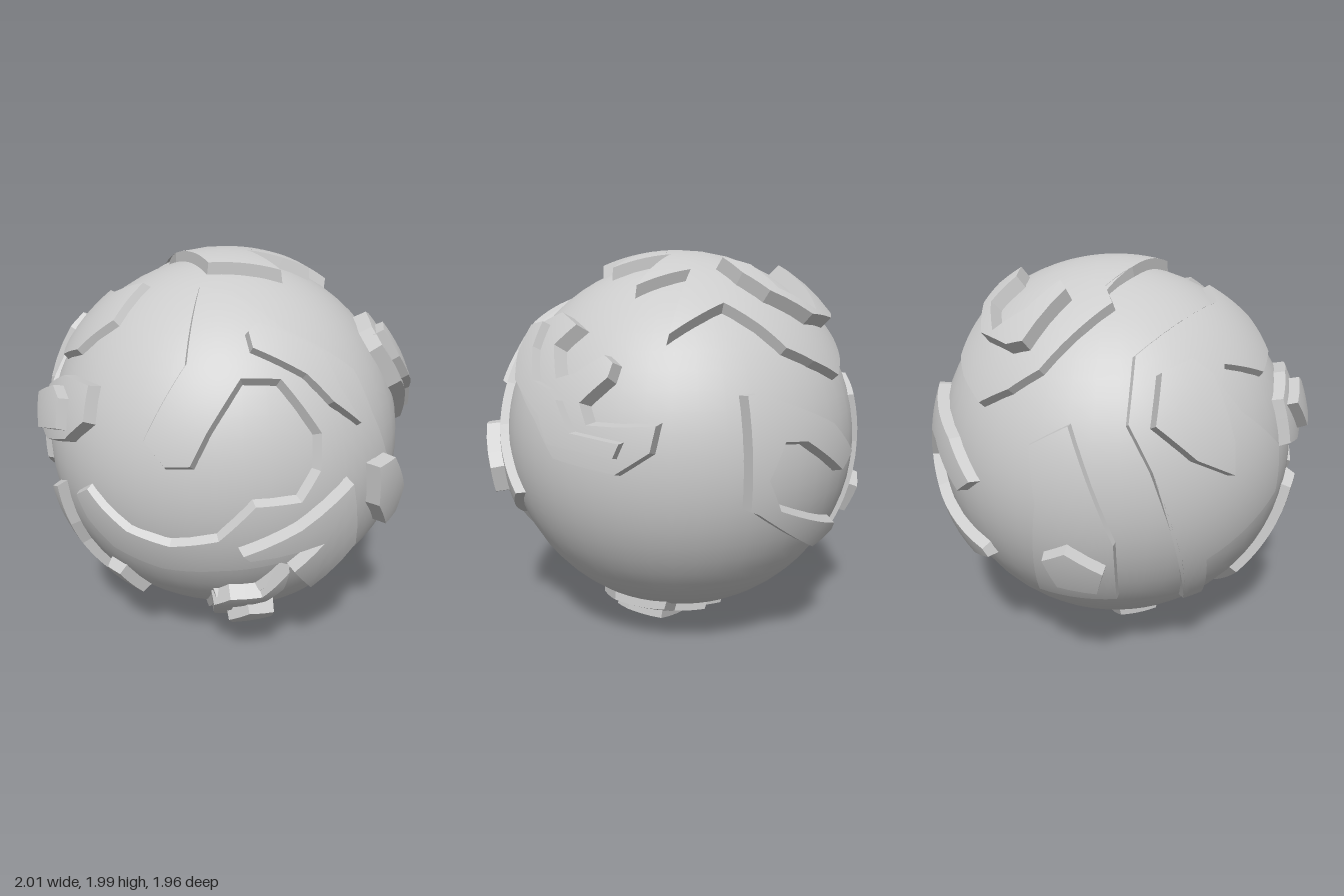
import * as THREE from 'three';

const CENTRE_Y = 1.02, SEA = 0.925, FLOOR = 0.91, BEVEL = 0.022;
const material = new THREE.MeshStandardMaterial({ color: 0xcccccc });

// Projection directions: [azimuth, elevation] in degrees
const VIEWS = {
  front: [0, 0], right: [90, 0], top: [0, 90], bottom: [0, -90],
  backLeft: [217, 28], backRight: [143, -28],
};

// Drop a 2D point (relative to the globe centre) onto a sphere of radius r
function onSphere(view, a, b, r) {
  const [az, el] = VIEWS[view].map(THREE.MathUtils.degToRad);
  const right = new THREE.Vector3(Math.cos(az), 0, -Math.sin(az));
  const toward = new THREE.Vector3(Math.sin(az) * Math.cos(el), Math.sin(el), Math.cos(az) * Math.cos(el));
  const up = toward.clone().cross(right);
  // plain coordinates: right uses (z, y), top uses (x, z)
  const s = view === 'right' ? -a : a;
  const v = view === 'top' ? -b : (view === 'front' || view === 'right') ? b - CENTRE_Y : b;
  const w = Math.sqrt(Math.max(0, r * r - s * s - v * v));
  return right.multiplyScalar(s).addScaledVector(up, v).addScaledVector(toward, w).normalize();
}

// Raised plate following the globe: curved cap plus a sloping wall around its outline
function plate(name, r, sections) {
  const split = r > 1 ? 3 : 7; // peaks are coarser than continents
  const pts = [];
  for (const [view, ...n] of sections)
    for (let i = 0; i < n.length; i += 2) pts.push(onSphere(view, n[i], n[i + 1], r));

  // flatten around the mean direction to triangulate
  const mid = pts.reduce((m, p) => m.add(p), new THREE.Vector3()).normalize();
  const e1 = new THREE.Vector3(0.31, 0.22, 0.93).cross(mid).normalize();
  const e2 = mid.clone().cross(e1);
  const flatten = p => new THREE.Vector2(p.dot(e1), p.dot(e2)).setLength(p.angleTo(mid));
  if (THREE.ShapeUtils.isClockWise(pts.map(flatten))) pts.reverse();
  const flat = pts.map(flatten);

  const pos = [], nor = [];
  const put = (p, n) => { pos.push(p.x, p.y, p.z); nor.push(n.x, n.y, n.z); };

  // cap: each triangle split into a grid and pushed out to the radius
  for (const t of THREE.ShapeUtils.triangulateShape(flat, [])) {
    if (THREE.ShapeUtils.isClockWise(t.map(i => flat[i]))) t.reverse();
    const [A, B, C] = t.map(i => pts[i]);
    const at = (i, j) => A.clone().multiplyScalar(split - i - j)
      .addScaledVector(B, i).addScaledVector(C, j).normalize();
    const tri = (...ps) => ps.forEach(p => put(p.clone().multiplyScalar(r), p));
    for (let i = 0; i < split; i++)
      for (let j = 0; j < split - i; j++) {
        tri(at(i, j), at(i + 1, j), at(i, j + 1));
        if (i + j < split - 1) tri(at(i + 1, j), at(i + 1, j + 1), at(i, j + 1));
      }
  }

  // foot of the wall: corners mitred outward
  const N = pts.length;
  const edgeOut = k => pts[(k + 1) % N].clone().sub(pts[k]).cross(pts[k]).normalize();
  const foot = pts.map((p, k) => {
    const a = edgeOut((k + N - 1) % N), b = edgeOut(k);
    const m = a.clone().add(b).normalize();
    return p.clone().addScaledVector(m, BEVEL / Math.max(0.6, m.dot(b))).normalize();
  });

  // wall, with one flat normal per outline edge
  pts.forEach((p, k) => {
    const q = pts[(k + 1) % N], p0 = foot[k], q0 = foot[(k + 1) % N];
    const at = (u, v, i, len) => u.clone().lerp(v, i / split).setLength(len);
    const n = at(q0, q0, 0, FLOOR).sub(at(p0, p0, 0, FLOOR))
      .cross(at(p, q, split / 2, r).sub(at(p0, q0, split / 2, FLOOR))).normalize();
    for (let i = 0; i < split; i++) {
      const a0 = at(p0, q0, i, FLOOR), b0 = at(p0, q0, i + 1, FLOOR);
      const a = at(p, q, i, r), b = at(p, q, i + 1, r);
      [a0, b0, b, a0, b, a].forEach(c => put(c, n));
    }
  });

  const g = new THREE.BufferGeometry();
  g.setAttribute('position', new THREE.Float32BufferAttribute(pos, 3));
  g.setAttribute('normal', new THREE.Float32BufferAttribute(nor, 3));
  const mesh = new THREE.Mesh(g, material);
  mesh.name = name;
  return mesh;
}

export function createModel() {
  const globe = new THREE.Group();
  globe.name = 'globe';
  globe.position.y = CENTRE_Y;

  const ocean = new THREE.Mesh(new THREE.SphereGeometry(SEA, 48, 32), material);
  ocean.name = 'ocean';
  ocean.position.set(-0.01, 0, -0.01);
  globe.add(ocean);

  globe.add(
    // front continent with its highlands
    plate('frontContinent', 0.953, [
      ['front', -.10, 1.86, -.14, 1.58, -.32, 1.27, -.23, 1.17, -.12, 1.18, -.05, 1.32, .09, 1.53,
        .26, 1.52, .44, 1.29, .44, 1.13, .36, 1.00, .16, 1.00, 0, .83, -.22, .78, -.42, .82,
        -.54, .91, -.61, .98, -.68, .92, -.63, .81, -.50, .69, -.26, .63, 0, .65, .28, .68,
        .33, .65, .17, .46, -.02, .43, -.07, .22, .27, .21],
      ['right', .58, .44, .58, .60, .31, .81, .55, 1.11, .59, 1.32, .56, 1.51, .61, 1.70],
      ['top', .06, .50]]),
    plate('frontPlateau', 1.01, [
      ['front', .11, .78, .36, .89, .59, 1.06, .63, .72, .43, .49, .34, .65, .47, .79, .14, .75]]),
    plate('frontSideMountain', 1.02, [
      ['right', .72, 1.10, .62, 1.11, .49, .91, .50, .78, .58, .75, .70, .90]]),
    plate('frontUpperRidge', 0.99, [
      ['front', .12, 1.71, .16, 1.74, .44, 1.62, .52, 1.47, .62, 1.31, .49, 1.42, .37, 1.54, .14, 1.65]]),
    plate('frontLowerRidge', 0.985, [
      ['front', -.03, .39, .05, .45, .20, .45, .32, .63, .30, .50, .22, .40, .06, .36, .03, .22, -.04, .22]]),
    plate('frontLowerPeak', 1.03, [
      ['front', .04, .27, .14, .35, .26, .33, .25, .25, .06, .18]]),

    // northern continent with a horseshoe range
    plate('northContinent', 0.975, [
      ['top', -.42, -.36, -.41, -.53, -.37, -.72, -.27, -.82, -.13, -.89, .06, -.86, .20, -.80,
        .27, -.70, .35, -.56, .62, -.47, .30, -.33, .53, -.20, .21, -.13, .42, .06, .11, .08,
        .27, .28, -.07, .29, -.13, .16, -.26, -.11, -.32, -.32]]),
    plate('northRange', 1.04, [
      ['top', -.28, -.51, -.29, -.75, -.22, -.79, -.02, -.80, .16, -.68, .21, -.56, .20, -.44,
        .10, -.53, .09, -.68, -.09, -.78, -.19, -.66, -.21, -.49]]),

    // small winding continent on the +x side
    plate('sideContinent', 0.98, [
      ['right', .28, 1.56, .24, 1.64, .11, 1.69, -.04, 1.64, .04, 1.55, -.05, 1.41, -.15, 1.44,
        -.26, 1.52, -.31, 1.49, -.31, 1.43, -.21, 1.32, -.26, 1.23, -.40, 1.23, -.54, 1.24,
        -.53, 1.13, -.40, 1.03, -.10, 1.07, .03, 1.22, .24, 1.37]]),
    plate('sideRange', 1.02, [
      ['right', .26, 1.63, .16, 1.65, .14, 1.54, .05, 1.40, -.07, 1.37, -.12, 1.33, -.22, 1.20,
        -.44, 1.17, -.42, 1.11, -.10, 1.14, -.03, 1.26, .20, 1.39, .26, 1.50]]),

    // long continent on the -x side
    plate('longContinent', 0.96, [
      ['top', -.38, .29, -.54, .18, -.62, -.13, -.63, -.40, -.73, -.52],
      ['backLeft', .38, -.28, .50, -.62, .48, -.81, .56, -.77, .60, -.61, .88, -.25, .88, -.04,
        .71, .05, .62, .14, .62, .25],
      ['top', -.80, .24, -.69, .40, -.50, .45]]),
    plate('longContinentMountain', 1.02, [
      ['backLeft', .39, .13, .50, .22, .59, .17, .70, -.10, .71, -.24, .56, -.21, .39, -.10]]),
    plate('lowerRange', 0.975, [
      ['front', -.85, .87, -.80, .91, -.76, .68, -.72, .55, -.59, .36, -.57, .49, -.50, .48,
        -.40, .33, -.50, .24, -.70, .39, -.81, .65]]),
    plate('island', 0.98, [
      ['front', -.91, 1.15, -.86, 1.36, -.74, 1.45, -.59, 1.45, -.61, 1.30, -.72, 1.19, -.85, 1.13]]),
    plate('islandPeak', 1.03, [
      ['front', -.90, 1.34, -.78, 1.42, -.74, 1.38, -.75, 1.25, -.88, 1.20]]),

    // land on the far side
    plate('bayContinent', 0.985, [
      ['backRight', .09, .73, .14, .73, .55, .53, .70, .34, .62, .31, .38, .53, .26, .56, .18, .43,
        .25, .28, .64, 0, .64, -.05, .50, -.05, .14, .29, .10, .31]]),
    plate('backIsland', 0.965, [
      ['backLeft', -.15, -.22, .02, -.13, .22, -.60, .20, -.84, -.18, -.84, -.12, -.46]]),
    plate('backIslandPeak', 1.02, [
      ['backLeft', -.09, -.70, .02, -.66, .18, -.73, .14, -.82, -.04, -.81]]),

    // southern continent
    plate('southContinent', 0.96, [
      ['bottom', .49, .02, .43, -.27, .29, -.22, .21, -.36, .12, -.20, .03, -.33, -.13, -.17,
        -.38, -.27, -.41, -.05, -.20, .15, 0, .24, .25, .24, .41, .18]]),
    plate('southPlateau', 1.02, [
      ['bottom', .32, .09, .26, -.10, .05, -.09, -.02, .05, 0, .18, .20, .21, .32, .17]]),
  );

  const model = new THREE.Group();
  model.name = 'planet';
  model.add(globe);
  return model;
}
